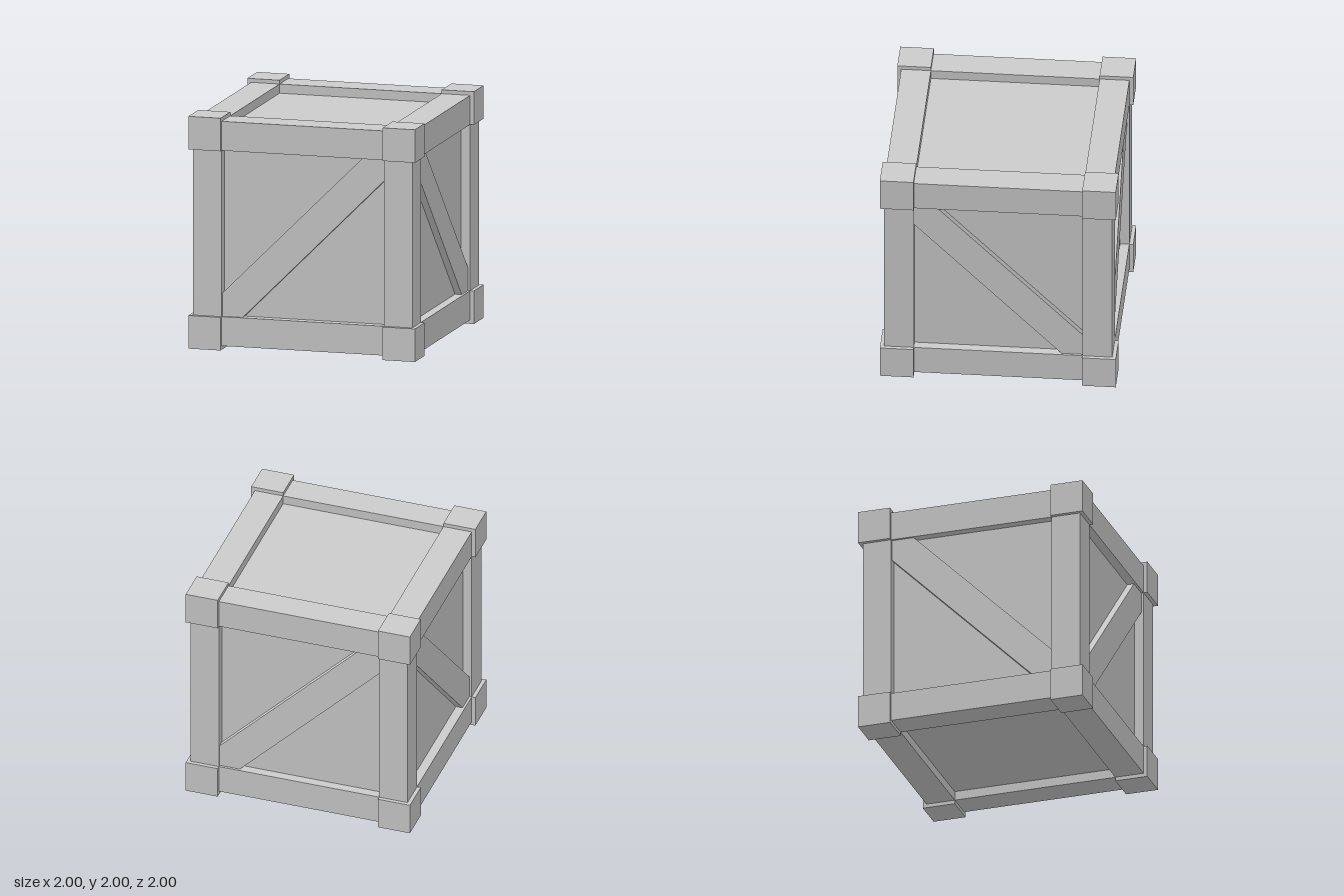
import * as THREE from 'three';

const INNER = 0.715;   // opening half-width
const BEAM = 0.967;    // outer face of the beams
const PANEL = 0.888;   // outer face of the recessed panels
const BRACE = 0.947;   // outer face of the diagonal braces

export function createModel() {
  const crate = new THREE.Group();
  crate.name = 'crate';
  const material = new THREE.MeshStandardMaterial({ color: 0xcccccc, flatShading: true });

  const add = (name, geometry, x = 0, y = 0, z = 0) => {
    const mesh = new THREE.Mesh(geometry, material);
    mesh.name = name;
    mesh.position.set(x, y + 1, z);
    crate.add(mesh);
    return mesh;
  };

  // Recessed panels form one inner box
  add('panels', new THREE.BoxGeometry(2 * PANEL, 2 * PANEL, 2 * PANEL));

  // Corner blocks
  const size = 1 - INNER;
  const corner = new THREE.BoxGeometry(size, size, size);
  const c = (1 + INNER) / 2;
  for (const x of [-c, c]) for (const y of [-c, c]) for (const z of [-c, c]) {
    add('cornerBlock', corner, x, y, z);
  }

  // Twelve edge beams between the corner blocks
  const w = BEAM - INNER, l = 2 * INNER, b = (BEAM + INNER) / 2;
  const beamX = new THREE.BoxGeometry(l, w, w);
  const beamY = new THREE.BoxGeometry(w, l, w);
  const beamZ = new THREE.BoxGeometry(w, w, l);
  for (const s of [-b, b]) for (const t of [-b, b]) {
    add('crossBeam', beamX, 0, s, t);
    add('cornerPost', beamY, s, 0, t);
    add('sideBeam', beamZ, s, t, 0);
  }

  // Diagonal plank, its ends cut to fit the frame
  const plank = (rise) => {
    const shape = new THREE.Shape([
      [-INNER, -INNER], [-0.535, -INNER], [INNER, 0.535],
      [INNER, INNER], [0.52, INNER], [-INNER, -0.515],
    ].map(([x, y]) => new THREE.Vector2(x * rise, y)));
    return new THREE.ExtrudeGeometry(shape, { depth: BRACE - PANEL, bevelEnabled: false })
      .translate(0, 0, PANEL);
  };

  // Front and back rise to their own right, the two sides to their own left
  for (let i = 0; i < 4; i++) {
    const brace = add('diagonalBrace', plank(i % 2 ? -1 : 1));
    brace.rotation.y = i * Math.PI / 2;
  }

  return crate;
}
